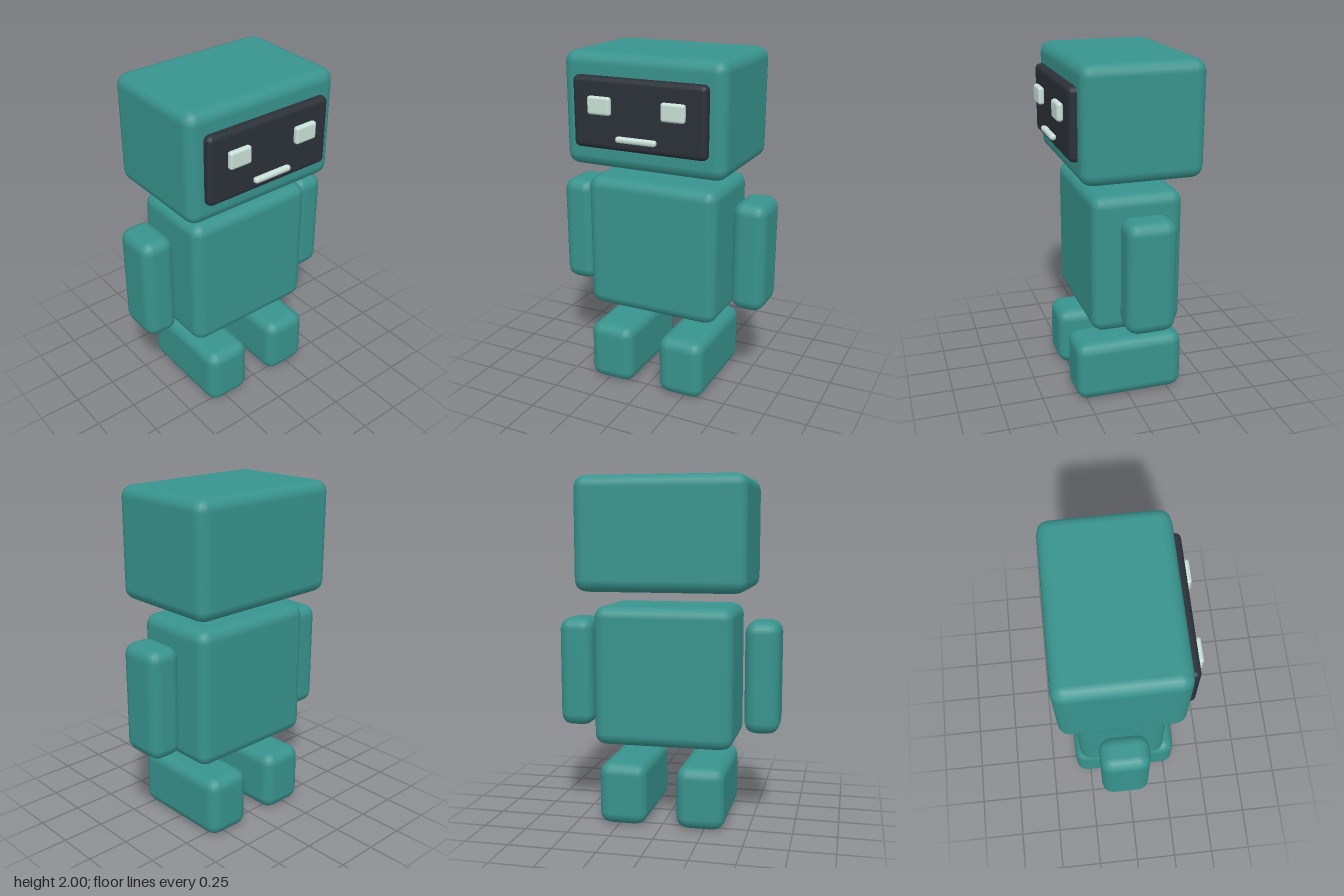
import * as THREE from 'three';
import { RoundedBoxGeometry } from 'three/addons/geometries/RoundedBoxGeometry.js';

export function createModel() {
  const robot = new THREE.Group();
  robot.name = 'robot';

  const paint = (name, color) => {
    const m = new THREE.MeshStandardMaterial({ color });
    m.name = name;
    return m;
  };
  const teal = paint('teal shell', 0x38938d);
  const dark = paint('dark visor', 0x2b3038);
  const pale = paint('pale light', 0xc8e0d7);

  // Rounded block given by its limits on each axis
  function block(name, material, [x0, x1], [y0, y1], [z0, z1], radius) {
    const geometry = new RoundedBoxGeometry(x1 - x0, y1 - y0, z1 - z0, 2, radius);
    const mesh = new THREE.Mesh(geometry, material);
    mesh.name = name;
    mesh.position.set((x0 + x1) / 2, (y0 + y1) / 2, (z0 + z1) / 2);
    robot.add(mesh);
  }

  // Mirrored pair, given by the limits of the left (+x) one
  function pair(name, material, [x0, x1], y, z, radius) {
    block('left' + name, material, [x0, x1], y, z, radius);
    block('right' + name, material, [-x1, -x0], y, z, radius);
  }

  // Head and torso
  block('head', teal, [-0.488, 0.488], [1.355, 2], [-0.387, 0.305], 0.067);
  block('torso', teal, [-0.405, 0.405], [0.46, 1.27], [-0.3, 0.225], 0.067);

  // Limbs
  pair('Arm', teal, [0.452, 0.653], [0.54, 1.187], [-0.182, 0.102], 0.067);
  pair('Foot', teal, [0.086, 0.367], [0.003, 0.367], [-0.337, 0.308], 0.067);

  // Face
  block('visor', dark, [-0.4, 0.4], [1.477, 1.877], [0.27, 0.35], 0.03);
  pair('Eye', pale, [0.15, 0.29], [1.675, 1.777], [0.348, 0.385], 0.016);
  block('mouth', pale, [-0.122, 0.122], [1.533, 1.568], [0.348, 0.385], 0.016);

  return robot;
}
